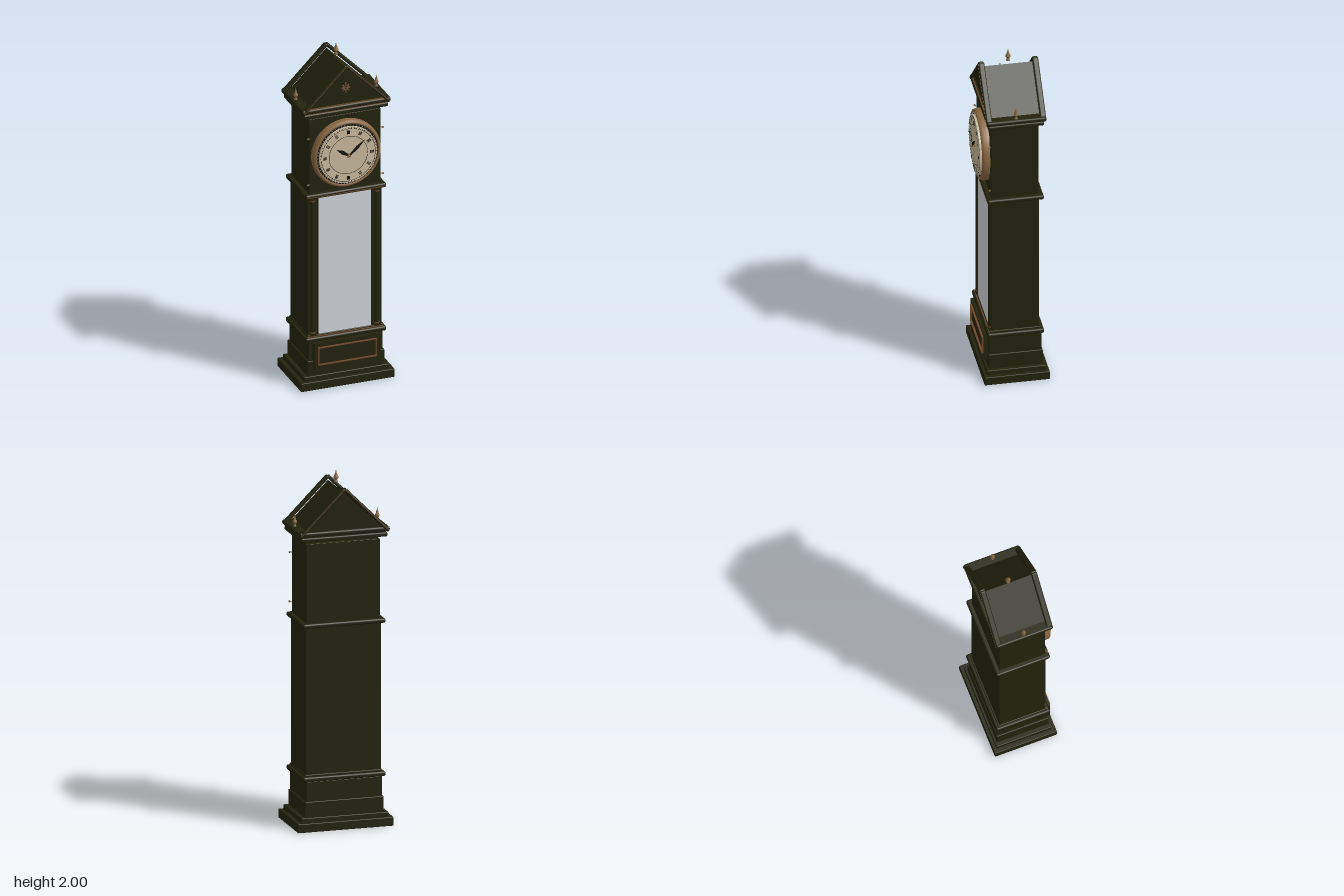
import * as THREE from 'three';
import { RoundedBoxGeometry } from 'three/addons/geometries/RoundedBoxGeometry.js';

const ZC = -0.014; // middle of the case, front to back
const DIAL_Y = 1.397;

const mat = (name, color) => {
  const m = new THREE.MeshStandardMaterial({ color });
  m.name = name;
  return m;
};

export function createModel() {
  const wood = mat('dark wood', 0x23230f);
  const brass = mat('aged brass', 0x8a6842);
  const copper = mat('copper trim', 0x704a2c);
  const cream = mat('cream dial', 0xc9ba9c);
  const silver = mat('silver', 0xb5b2aa);
  const glass = mat('pale glass', 0xd2d5db);
  const ink = mat('black enamel', 0x14140c);

  const clock = new THREE.Group();
  clock.name = 'longcaseClock';
  const add = (name, geo, material, x = 0, y = 0, z = 0, parent = clock) => {
    const m = new THREE.Mesh(geo, material);
    m.name = name;
    m.position.set(x, y, z);
    parent.add(m);
    return m;
  };
  const box = (name, material, w, h, d, x, y, z, parent) =>
    add(name, new THREE.BoxGeometry(w, h, d), material, x, y, z, parent);
  // A storey of the case: half width, bottom, top, half depth
  const tier = (name, hw, y0, y1, hd, r = 0.004) =>
    add(name, new RoundedBoxGeometry(hw * 2, y1 - y0, hd * 2, 2, r), wood, 0, (y0 + y1) / 2, ZC);
  // Thin rectangular outline on the front
  const outline = (name, hw, y0, y1, z, t, d, material) => {
    const g = new THREE.Group();
    g.name = name;
    for (const y of [y0, y1]) box('rail', material, hw * 2 + t, t, d, 0, y, z, g);
    for (const s of [-1, 1]) box('stile', material, t, y1 - y0, d, s * hw, (y0 + y1) / 2, z, g);
    clock.add(g);
  };
  const lathe = (pts, seg = 16) =>
    new THREE.LatheGeometry(pts.map(p => new THREE.Vector2(...p)), seg);

  // Plinth, base, trunk, hood and cornice
  tier('plinth', 0.275, 0, 0.05, 0.182);
  tier('plinthStep', 0.25, 0.048, 0.077, 0.164);
  tier('baseLower', 0.226, 0.075, 0.165, 0.152);
  tier('base', 0.218, 0.16, 0.278, 0.147);
  tier('baseMoulding', 0.237, 0.277, 0.305, 0.158, 0.01);
  tier('waistStep', 0.222, 0.303, 0.316, 0.142);
  tier('trunk', 0.216, 0.31, 1.15, 0.133, 0.002);
  tier('hoodMoulding', 0.237, 1.146, 1.172, 0.157, 0.01);
  tier('hood', 0.211, 1.17, 1.62, 0.131, 0.002);
  tier('corniceLower', 0.248, 1.635, 1.66, 0.156, 0.008);
  tier('corniceNeck', 0.24, 1.655, 1.672, 0.15);
  tier('cornice', 0.26, 1.667, 1.693, 0.165, 0.01);

  // Copper lines along the mouldings
  for (const [hw, y, z] of [[0.222, 0.307, 0.131], [0.23, 1.156, 0.142], [0.245, 1.664, 0.14]])
    box('mouldingLine', copper, hw * 2, 0.004, 0.006, 0, y, z);

  // Base panel
  box('basePanel', wood, 0.39, 0.155, 0.022, 0, 0.197, 0.144);
  outline('basePanelFrame', 0.19, 0.124, 0.27, 0.154, 0.008, 0.008, wood);
  outline('basePanelTrim', 0.17, 0.146, 0.248, 0.16, 0.005, 0.012, copper);

  // Trunk door with glass and corner columns
  box('doorGlass', glass, 0.308, 0.825, 0.006, -0.002, 0.729, 0.121);
  for (const s of [-1, 1]) {
    box('doorStile', wood, 0.008, 0.83, 0.012, s * 0.16, 0.73, 0.121);
    add('column', new THREE.CylinderGeometry(0.013, 0.013, 0.8, 16), wood, s * 0.188, 0.73, 0.119);
    for (const y of [0.328, 1.128]) {
      add('columnRing', new THREE.CylinderGeometry(0.015, 0.015, 0.008, 16), copper, s * 0.188, y, 0.119);
      box('columnBlock', wood, 0.036, 0.016, 0.026, s * 0.188, y + (y < 0.7 ? -0.01 : 0.012), 0.119);
    }
    // Hood corner strip and hinge knobs
    box('hoodStrip', wood, 0.036, 0.43, 0.006, s * 0.19, 1.39, 0.119);
    for (const y of [1.23, 1.51]) {
      add('hingeKnob', new THREE.SphereGeometry(0.006, 10, 8), brass, s * 0.221, y, 0.13);
      box('hingePin', brass, 0.014, 0.004, 0.004, s * 0.216, y, 0.127);
    }
  }

  // Dial, built flat around its own centre
  const dial = new THREE.Group();
  dial.name = 'dial';
  dial.position.y = DIAL_Y;
  clock.add(dial);
  const bezel = add('bezel', lathe([[0.196, 0.112], [0.2, 0.125], [0.2, 0.148], [0.195, 0.16],
    [0.187, 0.165], [0.18, 0.162], [0.178, 0.15]], 64), brass, 0, 0, 0, dial);
  bezel.rotation.x = Math.PI / 2;
  bezel.material.side = THREE.DoubleSide;
  const disc = (name, r, d, z, material) => {
    const m = add(name, new THREE.CylinderGeometry(r, r, d, 64), material, 0, 0, z, dial);
    m.rotation.x = Math.PI / 2;
  };
  disc('dialBack', 0.188, 0.045, 0.138, ink);
  disc('dialFace', 0.169, 0.014, 0.166, cream);
  const ring = (name, r, t, z, material) =>
    add(name, new THREE.RingGeometry(r - t, r + t, 64), material, 0, 0, z, dial);
  ring('innerCircle', 0.113, 0.0012, 0.1738, ink);
  ring('minuteCircle', 0.158, 0.001, 0.1738, ink);
  for (let i = 0; i < 60; i++) {
    const a = (i / 60) * Math.PI * 2, hour = i % 5 === 0;
    const mark = (name, r, w, l, z, material, off = 0) => {
      const m = box(name, material, w, l, 0.002, Math.sin(a) * r + Math.cos(a) * off,
        Math.cos(a) * r - Math.sin(a) * off, z, dial);
      m.rotation.z = -a;
    };
    mark('minuteMark', 0.163, 0.002, 0.007, 0.1735, ink);
    mark('minuteStud', 0.175, 0.004, 0.004, 0.1615, silver);
    if (hour) for (const off of [-0.006, 0, 0.006])
      mark('hourMark', 0.138, 0.003, 0.022, 0.176, ink, off);
  }

  // Hands: flattened diamonds
  const hand = (name, x, y, w, z) => {
    const len = Math.hypot(x, y);
    const s = new THREE.Shape([[0, -0.012], [w * 0.5, 0.005], [w, len * 0.55], [0, len],
      [-w, len * 0.55], [-w * 0.5, 0.005]].map(p => new THREE.Vector2(...p)));
    const geo = new THREE.ExtrudeGeometry(s, { depth: 0.003, bevelEnabled: false });
    add(name, geo, ink, 0, 0, z, dial).rotation.z = Math.atan2(-x, y);
  };
  hand('hourHand', -0.07, 0.045, 0.011, 0.181);
  hand('minuteHand', 0.09, 0.083, 0.009, 0.185);
  const hub = add('handHub', new THREE.CylinderGeometry(0.007, 0.011, 0.022, 16), brass, 0, 0, 0.184, dial);
  hub.rotation.x = Math.PI / 2;

  // Gabled roof body
  const gable = (half, y0, depth) => {
    const s = new THREE.Shape([new THREE.Vector2(-half, y0), new THREE.Vector2(half, y0),
      new THREE.Vector2(0, y0 + half)]);
    const g = new THREE.ExtrudeGeometry(s, { depth, bevelEnabled: false });
    return g.translate(0, 0, ZC - depth / 2);
  };
  add('roof', gable(0.211, 1.69, 0.29), wood);

  // Raking mouldings on both gables, with copper lines beneath
  for (const e of [-1, 1]) for (const s of [-1, 1]) {
    const z = ZC + e * 0.15;
    const rake = add('rakeMoulding', new RoundedBoxGeometry(0.362, 0.02, 0.034, 3, 0.009), wood,
      s * 0.127, 1.796, z);
    rake.rotation.z = -s * Math.PI / 4;
    const line = box('rakeLine', copper, 0.35, 0.003, 0.004, s * 0.127, 1.797, z + e * 0.016);
    line.rotation.z = -s * Math.PI / 4;
    const inner = box('gableMoulding', wood, 0.27, 0.01, 0.01, s * 0.098, 1.789, ZC + e * 0.146);
    inner.rotation.z = -s * Math.PI / 4;
  }
  box('gableBaseLine', copper, 0.48, 0.004, 0.006, 0, 1.694, 0.143);

  // Gable ornament: a small leaf spray
  const spray = new THREE.Group();
  spray.name = 'gableOrnament';
  spray.position.set(0, 1.787, 0.134);
  clock.add(spray);
  for (let i = 0; i < 8; i++) {
    const a = (i / 8) * Math.PI * 2, r = i % 4 === 0 ? 0.021 : 0.016;
    const leaf = add('leaf', new THREE.SphereGeometry(1, 10, 6), copper, Math.sin(a) * r, Math.cos(a) * r, 0, spray);
    leaf.scale.set(0.005, r * 0.65, 0.004);
    leaf.rotation.z = -a;
  }
  add('sprayBand', new THREE.SphereGeometry(0.005, 10, 8), copper, 0, 0, 0, spray);

  // Turned finials
  const finial = lathe([[0, 0], [0.011, 0], [0.011, 0.006], [0.006, 0.01], [0.007, 0.016],
    [0.014, 0.025], [0.014, 0.032], [0.007, 0.042], [0.008, 0.046], [0.004, 0.055], [0, 0.075]]);
  add('topFinial', finial, brass, 0, 1.925, ZC);
  for (const s of [-1, 1]) add('sideFinial', finial, brass, s * 0.237, 1.69, ZC).scale.set(0.9, 1, 0.9);

  return clock;
}
